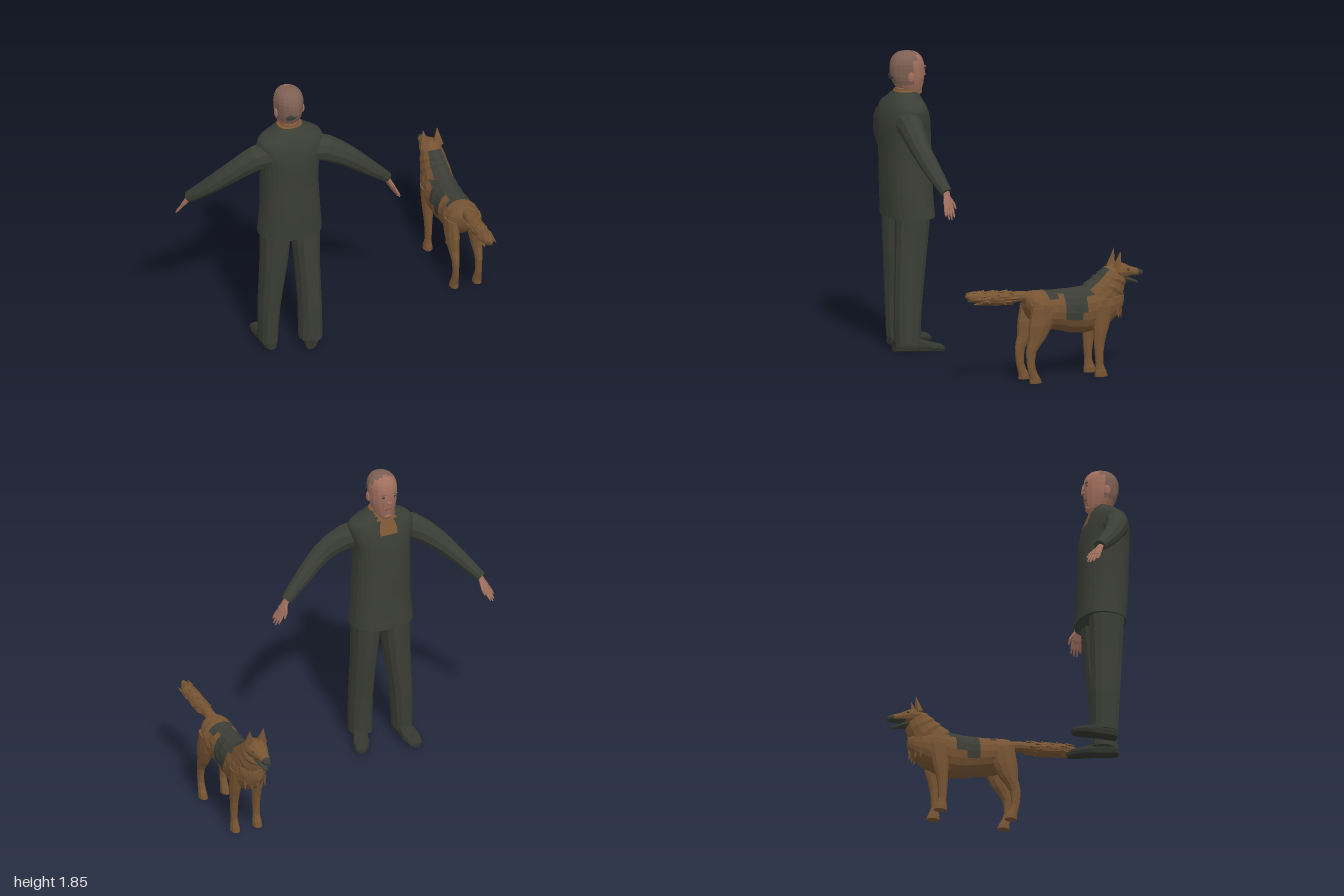
import * as THREE from 'three';

const mat = (name, color) => Object.assign(
  new THREE.MeshStandardMaterial({ color, flatShading: true, side: THREE.DoubleSide }), { name });
const V = (x, y, z) => new THREE.Vector3(x, y, z);
const X = V(1, 0, 0), Y = V(0, 1, 0), Z = V(0, 0, 1);
const DOWN = V(0, -1, 0), AHEAD = V(0, 0, -1);

// Catmull-Rom subdivision of section rows
function refine(rows, n) {
  if (n < 2) return rows;
  const out = [], last = rows.length - 1;
  for (let i = 0; i < last; i++) {
    const p = [rows[Math.max(i - 1, 0)], rows[i], rows[i + 1], rows[Math.min(i + 2, last)]];
    for (let k = 0; k < n; k++) {
      const t = k / n;
      out.push(p[1].map((b, j) => {
        const a = p[0][j], c = p[2][j], d = p[3][j];
        return b + 0.5 * t * (c - a + t * (2 * a - 5 * b + 4 * c - d + t * (3 * (b - c) + d - a)));
      }));
    }
  }
  out.push(rows[last]);
  return out;
}

// Skin over sections [x, y, z, halfA, halfB]; halfA lies along ref.
// pick(centre, angle) gives the material index of a face.
function loft(name, mats, rows, o = {}) {
  const { axis, ref = X, sides = 10, steps = 1, power = 1, rough = 0, pick = () => 0 } = o;
  const r = refine(rows, steps), c = r.map(s => V(s[0], s[1], s[2]));
  const rings = r.map((s, i) => {
    const t = axis || c[Math.min(i + 1, c.length - 1)].clone().sub(c[Math.max(i - 1, 0)]).normalize();
    const u = ref.clone().addScaledVector(t, -ref.dot(t)).normalize();
    const v = t.clone().cross(u);
    return Array.from({ length: sides }, (_, k) => {
      const a = k / sides * 2 * Math.PI, ca = Math.cos(a), sa = Math.sin(a);
      const f = 1 + rough * Math.sin(i * 7.3 + k * 12.7) * Math.cos(i * 3.1 - k * 5.9);
      return c[i].clone()
        .addScaledVector(u, Math.sign(ca) * Math.abs(ca) ** power * s[3] * f)
        .addScaledVector(v, Math.sign(sa) * Math.abs(sa) ** power * s[4] * f);
    });
  });
  const list = Array.isArray(mats) ? mats : [mats];
  const buckets = list.map(() => []);
  const tri = (m, ...pts) => pts.forEach(p => buckets[m].push(p.x, p.y, p.z));
  for (let i = 0; i < rings.length - 1; i++) for (let k = 0; k < sides; k++) {
    const j = (k + 1) % sides;
    const a = rings[i][k], b = rings[i][j], d = rings[i + 1][j], e = rings[i + 1][k];
    const mid = a.clone().add(b).add(d).add(e).multiplyScalar(0.25);
    const m = pick(mid, (k + 0.5) / sides * 2 * Math.PI);
    tri(m, a, b, d); tri(m, a, d, e);
  }
  const end = rings.length - 1;
  for (let k = 0; k < sides; k++) {
    const j = (k + 1) % sides;
    tri(pick(c[0], 0), c[0], rings[0][j], rings[0][k]);
    tri(pick(c[end], 0), c[end], rings[end][k], rings[end][j]);
  }
  const g = new THREE.BufferGeometry();
  g.setAttribute('position', new THREE.Float32BufferAttribute(buckets.flat(), 3));
  let start = 0;
  buckets.forEach((b, m) => { g.addGroup(start, b.length / 3, m); start += b.length / 3; });
  g.computeVertexNormals();
  const mesh = new THREE.Mesh(g, list);
  mesh.name = name;
  return mesh;
}

function blob(name, m, p, s) {
  const mesh = new THREE.Mesh(new THREE.SphereGeometry(1, 8, 6), m);
  mesh.name = name; mesh.position.set(...p); mesh.scale.set(...s);
  return mesh;
}

// Cone from a base point towards a tip
function spike(name, m, base, tip, r, sides = 4, flat = 1) {
  const d = tip.clone().sub(base), mesh = new THREE.Mesh(new THREE.ConeGeometry(r, d.length(), sides), m);
  mesh.name = name;
  mesh.position.copy(base).addScaledVector(d, 0.5);
  mesh.quaternion.setFromUnitVectors(Y, d.normalize());
  mesh.scale.z = flat;
  return mesh;
}

function hand(name, m, wrist, knuckle, spread) {
  const g = new THREE.Group(); g.name = name;
  const d = knuckle.clone().sub(wrist), s = spread.clone().normalize();
  const at = (t, w) => wrist.clone().addScaledVector(d, t).addScaledVector(s, w);
  const row = (p, a, b) => [p.x, p.y, p.z, a, b];
  g.add(loft('palm', m, [row(at(-0.3, 0), 0.02, 0.018), row(at(0.3, 0), 0.026, 0.016),
    row(at(0.75, 0), 0.036, 0.015), row(at(1.05, 0), 0.032, 0.011)], { ref: s, sides: 8 }));
  for (let i = 0; i < 4; i++) {
    const w = (i - 1.5) * 0.017, len = [1.6, 1.85, 1.9, 1.75][i];
    g.add(loft('finger', m, [row(at(0.9, w), 0.01, 0.01), row(at(1.4, w * 1.2), 0.009, 0.009),
      row(at(len, w * 1.3), 0.004, 0.004)], { ref: s, sides: 5 }));
  }
  g.add(loft('thumb', m, [row(at(0.3, 0.015), 0.013, 0.012), row(at(0.8, 0.046), 0.011, 0.01),
    row(at(1.2, 0.055), 0.005, 0.005)], { ref: s, sides: 5 }));
  return g;
}

function makeMan(M) {
  const man = new THREE.Group(); man.name = 'man';
  const cx = -0.36;
  // Jacket with an open shirt front on the -z side
  man.add(loft('jacket', [M.suit, M.shirt], [
    [-0.353, 0.83, 0.37, 0.2, 0.15], [-0.355, 1.0, 0.38, 0.187, 0.15], [cx, 1.2, 0.384, 0.18, 0.15],
    [cx, 1.35, 0.39, 0.182, 0.15], [cx, 1.45, 0.395, 0.205, 0.138], [cx, 1.52, 0.395, 0.2, 0.115],
    [cx, 1.57, 0.39, 0.125, 0.092], [cx, 1.615, 0.385, 0.068, 0.062]], {
    axis: Y, sides: 28, steps: 4, power: 0.85,
    pick: p => (p.z < 0.36 && Math.abs(p.x - cx) < 0.34 * (p.y - 1.39)) || p.y > 1.604 ? 1 : 0 }));
  man.add(loft('shirtCollar', M.shirt, [[cx, 1.585, 0.385, 0.068, 0.064], [cx, 1.625, 0.387, 0.06, 0.06]],
    { axis: Y, sides: 12 }));
  // Neck and head
  man.add(loft('neck', M.skin, [[cx, 1.55, 0.388, 0.056, 0.055], [cx, 1.68, 0.385, 0.056, 0.06]], { axis: Y }));
  man.add(loft('head', [M.skin, M.hair], [
    [cx, 1.565, 0.312, 0.028, 0.022], [cx, 1.59, 0.335, 0.052, 0.056], [cx, 1.63, 0.355, 0.07, 0.086],
    [cx, 1.68, 0.366, 0.084, 0.105], [cx, 1.73, 0.369, 0.088, 0.112], [cx, 1.78, 0.372, 0.089, 0.108],
    [cx, 1.82, 0.373, 0.077, 0.09], [cx, 1.844, 0.375, 0.05, 0.06], [cx, 1.853, 0.375, 0.012, 0.015]], {
    axis: Y, sides: 16, steps: 2, pick: p => (p.z > 0.38 && p.y > 1.66) || (p.y > 1.8 && p.z > 0.33) ? 1 : 0 }));
  man.add(spike('nose', M.skin, V(cx, 1.745, 0.27), V(cx, 1.695, 0.243), 0.018));
  man.add(blob('noseTip', M.skin, [cx, 1.695, 0.259], [0.017, 0.012, 0.016]));
  man.add(blob('mouth', M.lips, [cx, 1.648, 0.269], [0.028, 0.006, 0.008]));
  man.add(blob('chin', M.skin, [cx, 1.595, 0.29], [0.03, 0.022, 0.018]));
  man.add(blob('hairPatch', M.suit, [cx - 0.018, 1.7, 0.471], [0.038, 0.02, 0.008]));
  for (const s of [-1, 1]) {
    man.add(blob('ear', M.skin, [cx + s * 0.087, 1.7, 0.385], [0.011, 0.034, 0.021]));
    man.add(blob('brow', M.hair, [cx + s * 0.036, 1.753, 0.267], [0.023, 0.006, 0.008]));
    man.add(blob('eye', M.suit, [cx + s * 0.036, 1.734, 0.268], [0.013, 0.005, 0.005]));
  }
  // Sleeves and hands
  const sleeve = { ref: Z, sides: 10, steps: 2 };
  man.add(loft('leftSleeve', M.suit, [[-0.26, 1.43, 0.415, 0.095, 0.09], [-0.14, 1.41, 0.45, 0.075, 0.083],
    [0, 1.325, 0.47, 0.06, 0.066], [0.13, 1.21, 0.45, 0.055, 0.05], [0.265, 1.085, 0.42, 0.036, 0.034]], sleeve));
  man.add(loft('rightSleeve', M.suit, [[-0.46, 1.43, 0.415, 0.095, 0.09], [-0.58, 1.41, 0.4, 0.075, 0.083],
    [-0.72, 1.31, 0.35, 0.062, 0.066], [-0.83, 1.2, 0.28, 0.055, 0.05], [-0.94, 1.075, 0.18, 0.036, 0.034]], sleeve));
  man.add(hand('leftHand', M.skin, V(0.265, 1.08, 0.42), V(0.305, 1.0, 0.425), V(-0.25, 0, -1)));
  man.add(hand('rightHand', M.skin, V(-0.935, 1.075, 0.185), V(-0.966, 1.0, 0.145), V(0.75, 0, -0.7)));
  // Trousers
  const leg = { axis: Y, sides: 12, steps: 2, power: 0.85 };
  man.add(loft('leftTrouser', M.suit, [[-0.24, 0.05, 0.43, 0.072, 0.08], [-0.242, 0.3, 0.425, 0.07, 0.088],
    [-0.252, 0.6, 0.4, 0.075, 0.1], [-0.262, 0.9, 0.38, 0.092, 0.112]], leg));
  man.add(loft('rightTrouser', M.suit, [[-0.49, 0.05, 0.36, 0.056, 0.08], [-0.485, 0.3, 0.365, 0.064, 0.088],
    [-0.46, 0.6, 0.375, 0.08, 0.1], [-0.447, 0.9, 0.38, 0.095, 0.112]], leg));
  // Shoes
  const shoe = (name, heel, toe, m) => {
    const row = (t, w, h) => [heel[0] + t * (toe[0] - heel[0]), h, heel[1] + t * (toe[1] - heel[1]), w, h];
    return loft(name, m, [row(0, 0.03, 0.036), row(0.08, 0.045, 0.04), row(0.45, 0.048, 0.042),
      row(0.72, 0.056, 0.03), row(0.93, 0.045, 0.023), row(1, 0.022, 0.015)], { axis: AHEAD, sides: 10, power: 0.65 });
  };
  man.add(shoe('leftShoe', [-0.262, 0.51], [-0.158, 0.22], M.shoe));
  man.add(shoe('rightShoe', [-0.488, 0.43], [-0.492, 0.145], M.shoe));
  return man;
}

function makeDog(M) {
  const dog = new THREE.Group(); dog.name = 'dog';
  const cx = 0.88, rows = list => list.map(r => [cx, ...r]);
  // Body with a dark saddle
  dog.add(loft('body', [M.fur, M.saddle], rows([
    [0.5, 0.205, 0.035, 0.04], [0.475, 0.17, 0.085, 0.085], [0.445, 0.1, 0.11, 0.115], [0.43, 0, 0.102, 0.125],
    [0.415, -0.12, 0.1, 0.14], [0.415, -0.22, 0.102, 0.146], [0.43, -0.3, 0.102, 0.145],
    [0.44, -0.38, 0.088, 0.122], [0.45, -0.44, 0.058, 0.085], [0.46, -0.475, 0.02, 0.035]]), {
    axis: AHEAD, sides: 18, steps: 3, rough: 0.035,
    pick: p => p.z < 0.07 && p.z > -0.3 && p.y > (p.z > -0.03 ? 0.525 : p.z > -0.2 ? 0.39 : 0.5) ? 1 : 0 }));
  dog.add(loft('neck', [M.fur, M.saddle], rows([[0.46, -0.285, 0.09, 0.13], [0.515, -0.345, 0.088, 0.122],
    [0.565, -0.385, 0.08, 0.108], [0.61, -0.41, 0.072, 0.088], [0.645, -0.43, 0.055, 0.055]]), {
    sides: 14, steps: 3, rough: 0.05, pick: (p, a) => Math.sin(a) < -0.7 && p.y < 0.66 ? 1 : 0 }));
  // Head with open mouth
  dog.add(loft('head', [M.fur, M.saddle], rows([[0.64, -0.375, 0.035, 0.03], [0.632, -0.42, 0.07, 0.054],
    [0.628, -0.475, 0.06, 0.05], [0.62, -0.52, 0.04, 0.034], [0.612, -0.57, 0.03, 0.025],
    [0.606, -0.605, 0.018, 0.016]]), { axis: AHEAD, sides: 12, steps: 2,
    pick: p => p.z < -0.575 || (p.z < -0.5 && p.y < 0.605) ? 1 : 0 }));
  dog.add(loft('lowerJaw', M.saddle, rows([[0.585, -0.46, 0.042, 0.026], [0.566, -0.525, 0.027, 0.014],
    [0.548, -0.575, 0.014, 0.009]]), { axis: AHEAD, sides: 8 }));
  dog.add(blob('nose', M.saddle, [cx, 0.612, -0.6], [0.015, 0.012, 0.012]));
  for (const s of [-1, 1]) {
    dog.add(spike('ear', M.fur, V(cx + s * 0.042, 0.655, -0.415), V(cx + s * 0.046, 0.765, -0.438), 0.037, 6, 0.8));
    dog.add(blob('eye', M.saddle, [cx + s * 0.05, 0.643, -0.487], [0.007, 0.007, 0.01]));
    const x = cx + s * 0.075, leg = list => list.map(r => [x, ...r]);
    dog.add(loft('hindLeg', M.fur, leg([[0.47, 0.105, 0.04, 0.085], [0.36, 0.125, 0.042, 0.082],
      [0.27, 0.155, 0.033, 0.056], [0.19, 0.192, 0.022, 0.034], [0.1, 0.192, 0.02, 0.026],
      [0.03, 0.168, 0.026, 0.034], [0, 0.162, 0.028, 0.04]]), { axis: DOWN, steps: 2, rough: 0.03 }));
    dog.add(loft('foreLeg', M.fur, leg([[0.44, -0.3, 0.035, 0.07], [0.3, -0.288, 0.033, 0.05],
      [0.2, -0.275, 0.025, 0.034], [0.08, -0.277, 0.021, 0.025], [0.03, -0.285, 0.027, 0.038],
      [0, -0.288, 0.029, 0.043]]), { axis: DOWN, steps: 2, rough: 0.03 }));
  }
  // Bushy tail with tufts
  dog.add(loft('tail', M.fur, rows([[0.52, 0.14, 0.035, 0.035], [0.533, 0.25, 0.034, 0.035],
    [0.535, 0.35, 0.042, 0.043], [0.542, 0.45, 0.045, 0.045], [0.556, 0.55, 0.035, 0.033],
    [0.57, 0.605, 0.008, 0.01]]), { sides: 12, steps: 3, rough: 0.12 }));
  for (let i = 0; i < 36; i++) {
    const a = i * 2.4, z = 0.27 + i * 0.0075, r = 0.036, c = Math.cos(a), s = Math.sin(a), y = 0.533 + (z - 0.27) * 0.07;
    dog.add(spike('tailTuft', M.fur, V(cx + c * r, y + s * r, z), V(cx + c * r * 1.15, y + s * r * 1.15, z + 0.065), 0.013));
  }
  // Chest ruff
  for (let i = 0; i < 15; i++) {
    const w = (i % 5 - 2) / 2, y = 0.53 - Math.floor(i / 5) * 0.06, z = -0.455 + Math.abs(w) * 0.05;
    dog.add(spike('chestTuft', M.fur, V(cx + w * 0.06, y, z), V(cx + w * 0.068, y - 0.07, z - 0.012), 0.018));
  }
  return dog;
}

export function createModel() {
  const M = {
    suit: mat('charcoal cloth', 0x3b3e35), shoe: mat('dark shoe', 0x34362f), shirt: mat('tan shirt', 0x7d5735),
    skin: mat('skin', 0xa06f5e), hair: mat('grey brown hair', 0x7d6053), lips: mat('lips', 0x80503f),
    fur: mat('brown fur', 0x765433), saddle: mat('dark fur', 0x3b3d36),
  };
  const model = new THREE.Group();
  model.name = 'manAndDog';
  model.add(makeMan(M), makeDog(M));
  return model;
}
